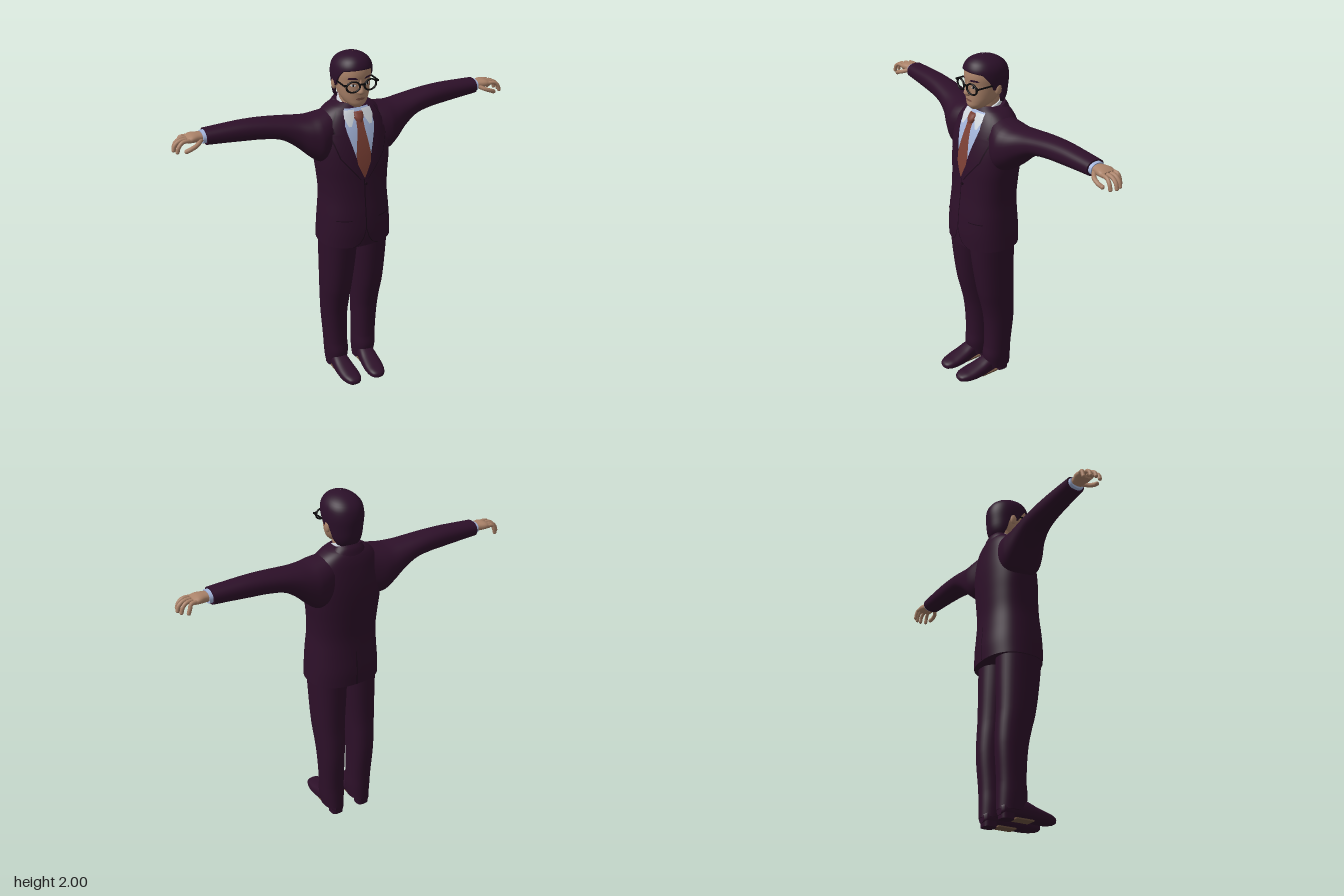
import * as THREE from 'three';
import { mergeGeometries } from 'three/addons/utils/BufferGeometryUtils.js';

const mat = (name, color) => Object.assign(new THREE.MeshStandardMaterial({ color }), { name });
const M = {
  suit: mat('suit plum', 0x2d1029), seam: mat('seam dark', 0x1c091a), hair: mat('hair', 0x2b1029),
  shirt: mat('shirt blue', 0xa3b4da), collar: mat('collar white', 0xd0d6dc), tie: mat('tie rust', 0x7c4035),
  skin: mat('skin', 0xaa8269), lip: mat('lips', 0x80564a), frame: mat('frame black', 0x0c0a0c), sole: mat('sole brown', 0x6e5340),
};

// Smooth cross-section lookup; rows are [position, a0, a1, b0, b1]
function section(rows) {
  const it = new THREE.CubicInterpolant(rows.map(r => r[0]), rows.flatMap(r => r.slice(1)), 4);
  return p => {
    const [a0, a1, b0, b1] = it.evaluate(p);
    return { ac: (a0 + a1) / 2, ar: (a1 - a0) / 2, bc: (b0 + b1) / 2, br: (b1 - b0) / 2 };
  };
}
const sym = rows => rows.map(([y, hx, z0, z1]) => [y, -hx, hx, z0, z1]);
const power = (v, e) => Math.sign(v) * Math.abs(v) ** e;
const place = {
  x: (p, a, b) => [p, b, a], // a = z, b = y
  y: (p, a, b) => [a, p, b], // a = x, b = z
  z: (p, a, b) => [b, a, p], // a = y, b = x
};
function onRing(axis, sec, p, angle, n) {
  const s = sec(p);
  return place[axis](p, s.ac + s.ar * power(Math.cos(angle), 2 / n), s.bc + s.br * power(Math.sin(angle), 2 / n));
}

// Surface through a list of point rings
function surface(rings, closed = true) {
  const m = rings[0].length, index = [];
  for (let i = 0; i < rings.length - 1; i++) {
    for (let j = 0; j < (closed ? m : m - 1); j++) {
      const k = (j + 1) % m, A = i * m + j, B = A + m, C = i * m + k, D = C + m;
      index.push(A, B, C, B, D, C);
    }
  }
  const g = new THREE.BufferGeometry();
  g.setAttribute('position', new THREE.Float32BufferAttribute(rings.flat(2), 3));
  g.setIndex(index);
  g.computeVertexNormals();
  return g;
}

// Capped superellipse loft along an axis
function loft(axis, rows, n = 2.2, seg = 36, steps = 5) {
  const sec = section(rows), at = [];
  rows.slice(0, -1).forEach((r, i) => {
    for (let k = 0; k < steps; k++) at.push(r[0] + (rows[i + 1][0] - r[0]) * k / steps);
  });
  at.push(rows[rows.length - 1][0]);
  const rings = at.map(p => Array.from({ length: seg }, (_, j) => onRing(axis, sec, p, j / seg * Math.PI * 2, n)));
  const centre = p => { const s = sec(p); return Array(seg).fill(place[axis](p, s.ac, s.bc)); };
  const end = at.length - 1;
  return mergeGeometries([surface(rings), surface([centre(at[0]), rings[0]]), surface([rings[end], centre(at[end])])]);
}

// Thin panel lying on the front (side 1) or back (side -1) of a body; rows [y, x0, x1] run downwards
function panel(sec, n, rows, lift, side = 1) {
  const rings = [];
  rows.forEach((r, i) => {
    const next = rows[i + 1], steps = next ? 6 : 1;
    for (let k = 0; k < steps; k++) {
      const [y, x0, x1] = next ? r.map((v, c) => v + (next[c] - v) * k / steps) : r;
      const s = sec(y);
      rings.push(Array.from({ length: 9 }, (_, j) => {
        const t = side > 0 ? j / 8 : 1 - j / 8, x = x0 + (x1 - x0) * t;
        const u = Math.min(1, Math.abs((x - s.ac) / s.ar));
        return [x, y, s.bc + side * (s.br * (1 - u ** n) ** (1 / n) + lift)];
      }));
    }
  });
  return surface(rings, false);
}

function mirrored(g) {
  const m = g.clone().scale(-1, 1, 1), ix = m.index.array;
  for (let i = 0; i < ix.length; i += 3) [ix[i], ix[i + 1]] = [ix[i + 1], ix[i]];
  return m;
}
const box = (w, h, d, x, y, z) => new THREE.BoxGeometry(w, h, d).translate(x, y, z);
const ball = (rx, ry, rz, x, y, z) => new THREE.SphereGeometry(1, 20, 14).scale(rx, ry, rz).translate(x, y, z);

export function createModel() {
  const model = new THREE.Group();
  model.name = 'suitedMan';
  const add = (name, g, material) => {
    const mesh = new THREE.Mesh(g, material);
    mesh.name = name;
    model.add(mesh);
    return mesh;
  };
  const pair = (name, g, material, shift = 0) => {
    add(name + 'Left', g, material).position.x = shift;
    add(name + 'Right', mirrored(g), material).position.x = shift;
  };

  // Jacket body
  const torsoRows = sym([
    [0.915, 0.21, -0.2, 0.14], [1.0, 0.206, -0.202, 0.144], [1.1, 0.199, -0.195, 0.138], [1.2, 0.192, -0.19, 0.126],
    [1.3, 0.198, -0.195, 0.117], [1.4, 0.21, -0.2, 0.11], [1.5, 0.213, -0.2, 0.094], [1.6, 0.198, -0.19, 0.066],
    [1.66, 0.168, -0.178, 0.04], [1.7, 0.118, -0.16, 0.018], [1.72, 0.07, -0.14, 0]]);
  const torso = section(torsoRows), N = 2.4;
  const onTorso = (rows, lift, side) => panel(torso, N, rows, lift, side);
  add('jacketBody', loft('y', torsoRows, N, 56), M.suit);

  // Sleeves, flaring into the armpits
  pair('sleeve', loft('x', [
    [0.1, -0.17, 0.03, 1.42, 1.688], [0.2, -0.195, 0.06, 1.4, 1.67], [0.25, -0.193, 0.045, 1.435, 1.664],
    [0.32, -0.186, 0.012, 1.5, 1.668], [0.4, -0.18, -0.012, 1.553, 1.676], [0.5, -0.175, -0.03, 1.574, 1.686],
    [0.6, -0.172, -0.042, 1.582, 1.69], [0.7, -0.17, -0.05, 1.59, 1.687], [0.81, -0.168, -0.058, 1.598, 1.682]], 2.3), M.suit);
  pair('shirtCuff', loft('x', [[0.79, -0.16, -0.066, 1.606, 1.676], [0.828, -0.158, -0.07, 1.608, 1.673]]), M.shirt);

  // Shirt front, tie and lapels
  add('shirtFront', onTorso([[1.7, -0.07, 0.07], [1.62, -0.092, 0.092], [1.5, -0.064, 0.064], [1.33, -0.002, 0.002]], 0.003), M.shirt);
  add('tieBlade', onTorso([[1.65, -0.02, 0.02], [1.6, -0.022, 0.022], [1.46, -0.044, 0.044], [1.41, -0.038, 0.038], [1.33, -0.003, 0.003]], 0.009), M.tie);
  add('tieKnot', loft('y', sym([[1.632, 0.016, 0.03, 0.072], [1.655, 0.027, 0.02, 0.068], [1.682, 0.03, 0, 0.052]])), M.tie);
  const lapel = [[1.69, 0.075, 0.11], [1.62, 0.086, 0.15], [1.585, 0.08, 0.14], [1.575, 0.078, 0.165], [1.45, 0.044, 0.125], [1.32, 0, 0.02]];
  pair('lapel', onTorso(lapel, 0.008), M.suit);
  pair('lapelEdge', onTorso(lapel.map(([y, a, b]) => [y - 0.002, a, b + 0.005]), 0.005), M.seam);

  // Jacket seams: front opening, curved hem, pockets, back vent
  add('frontOpening', onTorso([[1.32, -0.003, 0.003], [1.02, -0.003, 0.003]], 0.003), M.seam);
  pair('hemCurve', onTorso([[1.02, 0, 0.004], [0.97, 0.014, 0.019], [0.935, 0.036, 0.042], [0.916, 0.07, 0.08]], 0.003), M.seam);
  pair('pocketEdge', onTorso([[1.085, 0.08, 0.16], [1.08, 0.08, 0.16]], 0.003), M.seam);
  add('backVent', onTorso([[1.12, -0.002, 0.002], [0.917, -0.003, 0.003]], 0.003, -1), M.seam);
  add('jacketButton', new THREE.CylinderGeometry(0.008, 0.008, 0.008, 16).rotateX(Math.PI / 2).translate(0.008, 1.29, 0.121), M.seam);

  // Collars, higher at the nape than at the throat
  const tilt = g => {
    const p = g.attributes.position;
    for (let i = 0; i < p.count; i++) p.setY(i, p.getY(i) - (p.getZ(i) + 0.05) * 0.35);
    g.computeVertexNormals();
    return g;
  };
  add('shirtCollar', tilt(loft('y', sym([[1.65, 0.08, -0.14, 0.03], [1.7, 0.072, -0.134, 0.026], [1.724, 0.066, -0.13, 0.018]]))), M.collar);
  add('jacketCollar', tilt(loft('y', sym([[1.64, 0.125, -0.17, -0.01], [1.68, 0.095, -0.16, -0.025], [1.705, 0.078, -0.146, -0.045]]))), M.suit);
  pair('collarWing', onTorso([[1.695, 0.02, 0.078], [1.66, 0.028, 0.085], [1.615, 0.052, 0.068]], 0.011), M.collar);

  // Hands: palm, four curled fingers, thumb
  pair('palm', loft('x', [[0.8, -0.148, -0.078, 1.618, 1.664], [0.84, -0.152, -0.076, 1.62, 1.668],
    [0.88, -0.163, -0.068, 1.624, 1.668], [0.908, -0.16, -0.07, 1.626, 1.658]], 2.4, 24), M.skin);
  const digit = (points, r) => {
    const curve = new THREE.CatmullRomCurve3(points.map(p => new THREE.Vector3(...p)));
    return mergeGeometries([new THREE.TubeGeometry(curve, 12, r, 10), ball(r, r, r, ...points[points.length - 1])]);
  };
  const digits = [[-0.15, 0.945, -0.158], [-0.127, 0.972, -0.132], [-0.103, 0.98, -0.104], [-0.08, 0.97, -0.072]].map(([z0, tip, z1]) =>
    digit([[0.89, 1.646, z0], [(0.91 + tip) / 2, 1.643, (z0 + z1) / 2], [tip - 0.008, 1.622, z1], [tip, 1.598, z1]], 0.0105));
  digits.push(digit([[0.835, 1.636, -0.085], [0.868, 1.622, -0.058], [0.905, 1.608, -0.053], [0.925, 1.598, -0.06]], 0.012));
  pair('fingers', mergeGeometries(digits), M.skin);

  // Trousers
  pair('trouserLeg', loft('y', [
    [0.05, 0.03, 0.148, -0.15, 0.005], [0.13, 0.024, 0.157, -0.15, 0.02], [0.2, 0.026, 0.16, -0.15, 0.012],
    [0.4, 0.025, 0.172, -0.164, 0.02], [0.5, 0.02, 0.178, -0.162, 0.04], [0.6, 0.014, 0.185, -0.156, 0.065],
    [0.8, -0.002, 0.192, -0.155, 0.095], [0.96, -0.012, 0.197, -0.155, 0.11]], 2.3), M.suit, -0.005);

  // Shoes with heels and brown arches
  pair('shoe', loft('z', [
    [-0.145, 0.02, 0.07, 0.065, 0.115], [-0.13, 0.016, 0.09, 0.05, 0.128], [-0.06, 0.018, 0.12, 0.046, 0.13],
    [0.0, 0.014, 0.115, 0.038, 0.137], [0.06, 0.008, 0.092, 0.03, 0.14], [0.13, 0.008, 0.072, 0.026, 0.136],
    [0.18, 0.014, 0.06, 0.036, 0.12], [0.198, 0.02, 0.05, 0.052, 0.104], [0.205, 0.03, 0.04, 0.07, 0.085]], 2.6), M.suit, -0.012);
  pair('heel', loft('y', [[0, 0.052, 0.126, -0.14, -0.065], [0.03, 0.05, 0.128, -0.142, -0.062]], 3), M.suit, -0.012);
  pair('archSole', box(0.066, 0.008, 0.11, 0.088, 0.01, -0.005), M.sole, -0.012);

  // Head and neck
  add('neck', loft('y', sym([[1.64, 0.058, -0.125, 0.005], [1.72, 0.056, -0.122, 0.005], [1.79, 0.06, -0.125, 0.01]])), M.skin);
  const headRows = sym([
    [1.712, 0.026, -0.03, 0.05], [1.73, 0.05, -0.055, 0.066], [1.76, 0.072, -0.095, 0.069], [1.8, 0.086, -0.13, 0.07],
    [1.85, 0.093, -0.145, 0.071], [1.9, 0.096, -0.148, 0.075], [1.945, 0.084, -0.13, 0.06], [1.98, 0.045, -0.09, 0.02]]);
  const head = section(headRows);
  const onFace = (rows, lift) => panel(head, 2.2, rows, lift);
  add('face', loft('y', headRows, 2.2, 44), M.skin);
  add('nose', loft('y', sym([[1.793, 0.013, 0.05, 0.082], [1.802, 0.02, 0.05, 0.094], [1.815, 0.018, 0.05, 0.096],
    [1.845, 0.01, 0.05, 0.083], [1.875, 0.008, 0.05, 0.074]]), 2, 20), M.skin);
  pair('ear', ball(0.013, 0.032, 0.02, 0.096, 1.828, -0.055), M.skin);
  pair('eye', onFace([[1.852, 0.036, 0.046], [1.845, 0.026, 0.058], [1.838, 0.034, 0.048]], 0.002), M.collar);
  pair('pupil', onFace([[1.852, 0.037, 0.046], [1.838, 0.037, 0.046]], 0.004), M.frame);
  pair('eyebrow', onFace([[1.888, 0.03, 0.062], [1.877, 0.018, 0.07]], 0.003), M.hair);
  add('mouth', onFace([[1.772, -0.015, 0.015], [1.766, -0.03, 0.03], [1.759, -0.016, 0.016]], 0.002), M.lip);

  // Hair cap with a hairline that dips at the sideburns and nape
  const hair = section(sym([
    [1.72, 0.075, -0.135, 0.03], [1.76, 0.09, -0.157, 0.05], [1.82, 0.1, -0.166, 0.07], [1.9, 0.107, -0.168, 0.084],
    [1.95, 0.095, -0.147, 0.075], [1.98, 0.065, -0.106, 0.048], [1.993, 0.035, -0.068, 0.018], [2, 0.002, -0.026, -0.022]]));
  const hairline = new THREE.LinearInterpolant(
    [-1, -0.6, -0.35, -0.18, 0, 0.16, 0.35, 0.6, 1], [1.73, 1.735, 1.77, 1.85, 1.825, 1.825, 1.875, 1.918, 1.928], 1);
  const hairRings = Array.from({ length: 22 }, (_, i) => Array.from({ length: 72 }, (_, j) => {
    const angle = j / 72 * Math.PI * 2, low = hairline.evaluate(Math.sin(angle))[0];
    const y = low + (2 - low) * Math.sin(Math.max(0, i - 1) / 20 * Math.PI / 2);
    const p = onRing('y', hair, y, angle, 2.15);
    return i ? p : [p[0] * 0.8, y, -0.04 + (p[2] + 0.04) * 0.8];
  }));
  add('hair', surface(hairRings), M.hair);

  // Glasses
  pair('glassesRim', new THREE.TorusGeometry(0.037, 0.0055, 8, 32).scale(1, 0.78, 1).rotateY(0.15).translate(0.05, 1.843, 0.083), M.frame);
  pair('glassesArm', box(0.005, 0.008, 0.145, 0.1, 1.856, 0.008), M.frame);
  pair('glassesHinge', box(0.02, 0.009, 0.006, 0.092, 1.856, 0.078), M.frame);
  add('glassesBridge', box(0.03, 0.008, 0.008, 0, 1.853, 0.09), M.frame);
  return model;
}
